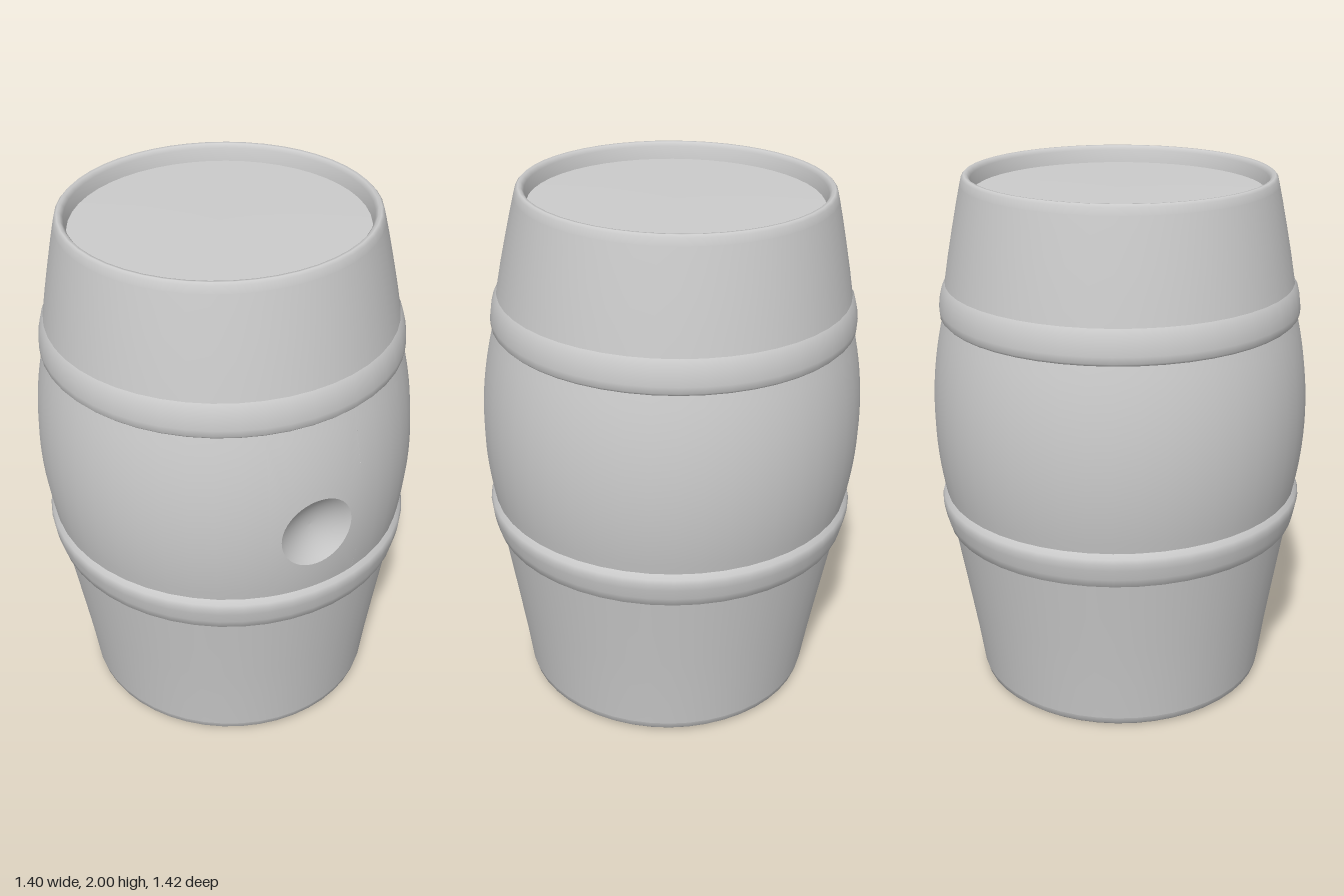
import * as THREE from 'three';

const SIDES = 48;
const HALF_ANGLE = (2 * Math.PI / SIDES) * 2; // half width of the wall panel around the bung hole
const HOLE_Y = 1.06, HOLE_R = 0.14;
const MID_LOW = 0.8, MID_HIGH = 1.48; // wall between the hoops

// Radius of the bulging middle wall
const bulge = (y) => 0.7 - 0.33 * (y - 1.1) ** 2;

// Hand-made irregularity: slight lean, oval belly, uneven top and base
function lean(geometry) {
  const p = geometry.attributes.position;
  for (let i = 0; i < p.count; i++) {
    const x = p.getX(i), y = p.getY(i), z = p.getZ(i);
    const oval = 1 + 0.018 * (1 - (y - 1) ** 2);
    p.setXYZ(
      i,
      x + 0.018 - 0.0125 * y,
      y + 0.006 * y * (x + z) + 0.012 * z * (1 - y / 2),
      z * oval + 0.021 - 0.0205 * y,
    );
  }
  return geometry;
}

export function createModel() {
  const group = new THREE.Group();
  const material = new THREE.MeshStandardMaterial({ color: 0xcccccc, side: THREE.DoubleSide });

  function add(name, geometry) {
    const mesh = new THREE.Mesh(lean(geometry), material);
    mesh.name = name;
    group.add(mesh);
  }

  // Revolved part from [radius, height] pairs, optionally open at the front
  function turned(name, profile, gap = 0) {
    const points = profile.map(([r, y]) => new THREE.Vector2(r, y));
    const segments = SIDES - Math.round(gap * SIDES / Math.PI);
    add(name, new THREE.LatheGeometry(points, segments, gap, 2 * Math.PI - 2 * gap));
  }

  // Concentric loops laid on the front wall; shape(t, angle) gives [across, up, inset]
  function frontLoops(name, rows, shape) {
    const n = 48, positions = [], index = [];
    for (let j = 0; j <= rows; j++) {
      for (let i = 0; i < n; i++) {
        const [u, v, inset] = shape(j / rows, i * 2 * Math.PI / n);
        const y = HOLE_Y + v, r = bulge(y) - inset, a = u / 0.7;
        positions.push(r * Math.sin(a), y, r * Math.cos(a));
        if (j === rows) continue;
        const p = j * n + i, q = j * n + (i + 1) % n;
        index.push(p, p + n, q + n, p, q + n, q);
      }
    }
    const geometry = new THREE.BufferGeometry();
    geometry.setAttribute('position', new THREE.Float32BufferAttribute(positions, 3));
    geometry.setIndex(index);
    geometry.computeVertexNormals();
    add(name, geometry);
  }

  // Base rim and recessed bottom head
  turned('bottomHead', [[0.5, 0.06], [0, 0.065]]);
  turned('bottomRim', [[0.5, 0.06], [0.505, 0.028], [0.52, 0.01], [0.54, 0.008], [0.555, 0.022], [0.561, 0.045]]);

  // Staves and the two raised hoops
  turned('lowerStaves', [[0.561, 0.045], [0.581, 0.2], [0.605, 0.36], [0.63, 0.52], [0.652, 0.66]]);
  turned('lowerHoop', [[0.652, 0.66], [0.668, 0.668], [0.677, 0.7], [0.685, 0.74], [0.688, 0.765], [0.683, 0.782], [bulge(MID_LOW), MID_LOW]]);
  const middle = [];
  for (let i = 0; i <= 16; i++) {
    const y = THREE.MathUtils.lerp(MID_LOW, MID_HIGH, i / 16);
    middle.push([bulge(y), y]);
  }
  turned('middleStaves', middle, HALF_ANGLE);
  turned('upperHoop', [[bulge(MID_HIGH), MID_HIGH], [0.662, 1.49], [0.664, 1.515], [0.66, 1.55], [0.652, 1.585], [0.64, 1.605]]);
  turned('upperStaves', [[0.64, 1.605], [0.624, 1.7], [0.605, 1.8], [0.585, 1.9], [0.572, 1.96]]);

  // Wall panel from the bung hole out to the hoops and the staves beside it
  frontLoops('bungPanel', 8, (t, a) => {
    const c = Math.cos(a), s = Math.sin(a);
    const k = 1 / Math.max(Math.abs(c), Math.abs(s));
    const height = s > 0 ? MID_HIGH - HOLE_Y : HOLE_Y - MID_LOW;
    const mix = THREE.MathUtils.lerp;
    return [c * mix(HOLE_R, k * HALF_ANGLE * 0.7, t), s * mix(HOLE_R, k * height, t), 0];
  });

  // Shallow bowl of the bung hole
  frontLoops('bungHole', 8, (t, a) => [
    HOLE_R * t * Math.cos(a), HOLE_R * t * Math.sin(a), 0.06 * (1 - t * t),
  ]);

  // Rounded top rim and recessed lid
  turned('topRim', [[0.572, 1.96], [0.566, 1.985], [0.557, 1.994], [0.546, 1.993], [0.535, 1.978], [0.528, 1.93]]);
  turned('lid', [[0.528, 1.93], [0.3, 1.934], [0, 1.936]]);

  return group;
}
